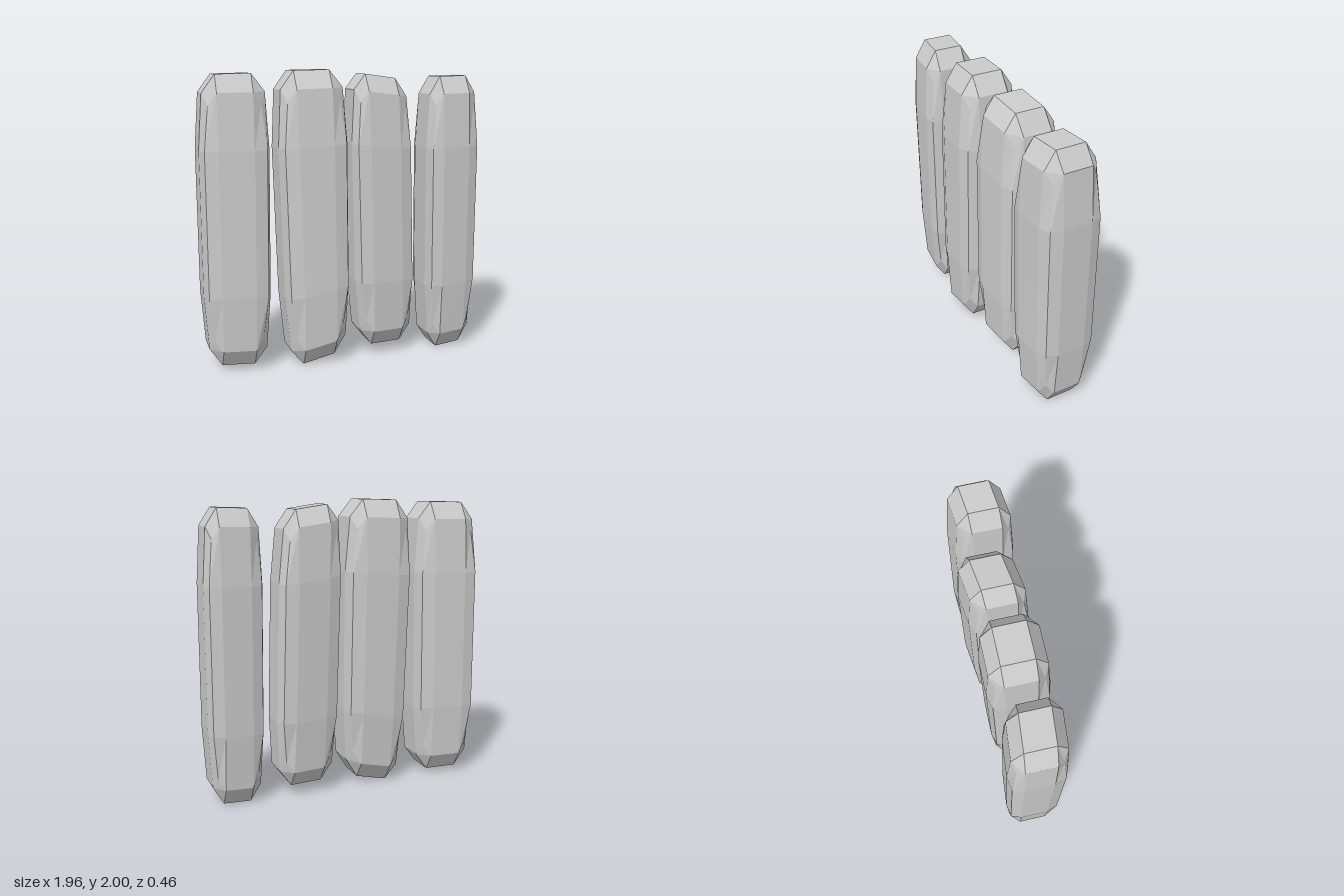
import * as THREE from 'three';

// One worn slab each. upper/lower: left and right x at the two waist lines,
// top/bottom: y at the left and right of the caps, z: centre depth at left and right,
// lean: depth shift towards the top, depth: half thickness.
const SLABS = [
  { upper: [-0.98, -0.53], lower: [-0.98, -0.54], top: [1.975, 1.98], bottom: [0.04, 0.035], z: [-0.02, 0.025], lean: 0, depth: 0.19 },
  { upper: [-0.465, 0.005], lower: [-0.44, 0.01], top: [1.995, 2.0], bottom: [0.0, 0.05], z: [0.005, 0.01], lean: -0.02, depth: 0.205 },
  { upper: [0.04, 0.485], lower: [0.065, 0.51], top: [1.97, 1.94], bottom: [0.075, 0.075], z: [0.0, -0.05], lean: -0.01, depth: 0.195 },
  { upper: [0.575, 0.97], lower: [0.59, 0.975], top: [1.95, 1.955], bottom: [0.0, 0.015], z: [0.01, -0.03], lean: 0.01, depth: 0.195 },
];

// How far out a vertex stays on a face, an edge or a corner
const SIDE = [1, 0.88, 0.74];
const LENGTH = [1, 0.88, 0.8];
const INNER = 0.5;

const lerp = THREE.MathUtils.lerp;

function slabGeometry(s) {
  const geometry = new THREE.BoxGeometry(2, 2, 2, 3, 3, 3);
  const p = geometry.attributes.position;
  for (let i = 0; i < p.count; i++) {
    const c = [p.getX(i), p.getY(i), p.getZ(i)];
    const kind = c.filter((a) => Math.abs(a) > 0.9).length - 1;
    // Pull edges and corners in to round the block
    const [u, v, w] = c.map((a, axis) =>
      Math.sign(a) * (Math.abs(a) > 0.9 ? (axis === 1 ? LENGTH : SIDE)[kind] : INNER));
    // Skew the block into its own uneven outline
    const t = v + 0.5;
    const across = (u + 1) / 2;
    const x = lerp(lerp(s.lower[0], s.upper[0], t), lerp(s.lower[1], s.upper[1], t), across);
    const y = lerp(lerp(s.bottom[0], s.bottom[1], u + 0.5), lerp(s.top[0], s.top[1], u + 0.5), (v + 1) / 2);
    const z = lerp(s.z[0], s.z[1], across) + s.lean * v + s.depth * w;
    p.setXYZ(i, x, y, z);
  }
  const flat = geometry.toNonIndexed();
  flat.computeVertexNormals();
  return flat;
}

export function createModel() {
  const group = new THREE.Group();
  group.name = 'stoneSlabs';
  const material = new THREE.MeshStandardMaterial({ color: 0xcccccc, flatShading: true });
  SLABS.forEach((slab, i) => {
    const mesh = new THREE.Mesh(slabGeometry(slab), material);
    mesh.name = `slab${i + 1}`;
    group.add(mesh);
  });
  return group;
}
